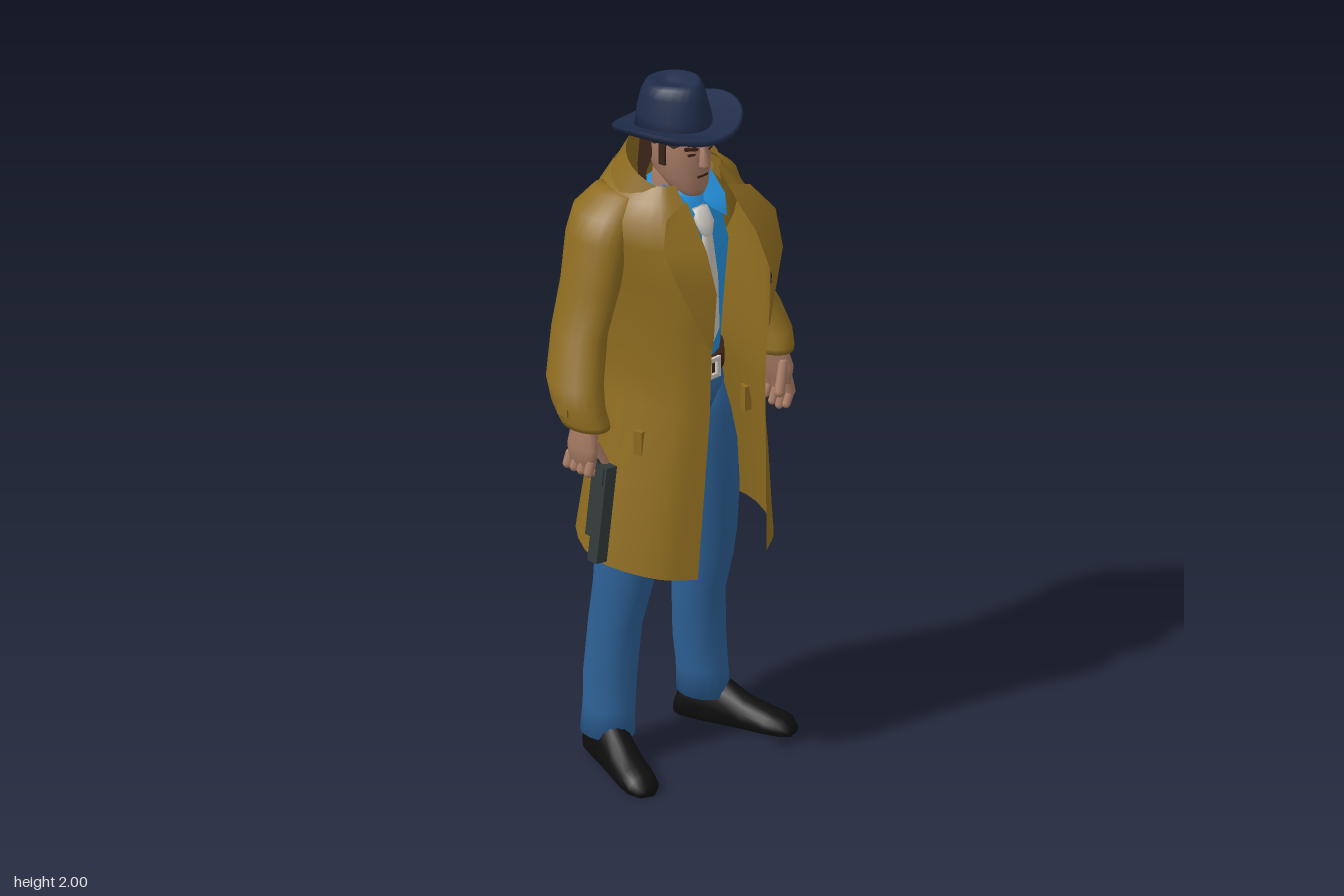
import * as THREE from 'three';

const mat = (name, color, side = THREE.FrontSide) => {
  const m = new THREE.MeshStandardMaterial({ color, side });
  m.name = name;
  return m;
};
const V = (x, y, z) => new THREE.Vector3(x, y, z);
const TAU = Math.PI * 2;

// Skin rows of points, each row running counter-clockwise seen from above, rows going up
function surface(rows, closed) {
  const n = rows[0].length, pos = [], idx = [];
  rows.forEach(r => r.forEach(p => pos.push(p.x, p.y, p.z)));
  for (let j = 0; j < rows.length - 1; j++) {
    for (let i = 0; i < (closed ? n : n - 1); i++) {
      const a = j * n + i, b = j * n + (i + 1) % n;
      idx.push(a, b, b + n, a, b + n, a + n);
    }
  }
  const g = new THREE.BufferGeometry();
  g.setAttribute('position', new THREE.Float32BufferAttribute(pos, 3));
  g.setIndex(idx);
  g.computeVertexNormals();
  return g;
}

// One elliptical ring; angle 0 faces the front
function ring([y, cx, cz, rx, rz], n = 20, from = 0, to = TAU) {
  const closed = to - from >= TAU, pts = [];
  for (let i = 0; i < n; i++) {
    const a = from + (to - from) * i / (closed ? n : n - 1);
    pts.push(V(cx + rx * Math.sin(a), y, cz + rz * Math.cos(a)));
  }
  return pts;
}

// Rings listed from bottom to top, closed with end caps
function loft(sections, s = 1, n = 20) {
  const flat = k => [k[0], k[1], k[2], 0, 0];
  const all = [flat(sections[0]), ...sections, flat(sections[sections.length - 1])];
  return surface(all.map(([y, cx, ...r]) => ring([y, s * cx, ...r], n)), true);
}

export function createModel() {
  const D = THREE.DoubleSide;
  const coat = mat('coat mustard', 0x8e6c20, D), hat = mat('hat navy', 0x202d4a, D);
  const shirt = mat('shirt blue', 0x2490dc, D), jeans = mat('denim blue', 0x2d6095);
  const skin = mat('skin', 0xa67a64), hair = mat('dark brown hair', 0x382318, D);
  const black = mat('shoe black', 0x0e0e0e), leather = mat('belt brown', 0x3c2415);
  const pale = mat('pale grey', 0xcbc7c0, D), steel = mat('gun metal', 0x323939);

  const root = new THREE.Group();
  const add = (name, geo, m, parent = root) => {
    const mesh = new THREE.Mesh(geo, m);
    mesh.name = name;
    parent.add(mesh);
    return mesh;
  };
  const box = (name, size, p, m, rot = [0, 0, 0], parent = root) => {
    const b = add(name, new THREE.BoxGeometry(...size), m, parent);
    b.position.set(...p);
    b.rotation.set(...rot);
    return b;
  };
  const limb = (name, a, b, r, m, parent) => {
    const d = b.clone().sub(a), c = add(name, new THREE.CapsuleGeometry(r, d.length(), 4, 8), m, parent);
    c.position.copy(a).add(b).multiplyScalar(0.5);
    c.quaternion.setFromUnitVectors(V(0, 1, 0), d.normalize());
  };

  // Trousers
  add('hips', loft([[0.985, 0, -0.02, 0.1, 0.06], [1.03, 0, -0.02, 0.145, 0.108],
    [1.08, 0, -0.02, 0.152, 0.122], [1.17, 0, -0.02, 0.138, 0.118]]), jeans);
  const leg = [[0.08, 0.178, -0.085, 0.068, 0.08], [0.16, 0.172, -0.085, 0.066, 0.076],
    [0.25, 0.165, -0.088, 0.07, 0.076], [0.4, 0.154, -0.08, 0.068, 0.078],
    [0.52, 0.15, -0.055, 0.072, 0.088], [0.6, 0.146, -0.045, 0.076, 0.095],
    [0.75, 0.125, -0.03, 0.084, 0.11], [0.9, 0.1, -0.02, 0.088, 0.115],
    [1.0, 0.08, -0.02, 0.081, 0.116], [1.1, 0.065, -0.02, 0.07, 0.1]];
  // Shoe stations from heel to toe: length, half width, height
  const shoe = [[-0.078, 0.03, 0.05], [-0.06, 0.046, 0.1], [0, 0.052, 0.14], [0.06, 0.05, 0.125],
    [0.13, 0.05, 0.085], [0.2, 0.051, 0.062], [0.245, 0.045, 0.05], [0.268, 0.026, 0.028]];
  // Sleeve from cuff to shoulder, the right elbow held further forward
  const sleeve = s => {
    const f = s < 0 ? 0.02 : 0;
    return [[1.085, 0.34, 0.0, 0.054, 0.078], [1.1, 0.342, -0.004, 0.056, 0.081],
      [1.14, 0.346, -0.022, 0.059, 0.085], [1.2, 0.339, -0.063 + f, 0.064, 0.09],
      [1.32, 0.288, -0.098 + f, 0.063, 0.088], [1.45, 0.247, -0.098 + f, 0.067, 0.094],
      [1.58, 0.218, -0.093 + f / 2, 0.068, 0.1], [1.645, 0.19, -0.087, 0.068, 0.096], [1.695, 0.155, -0.08, 0.045, 0.07]];
  };
  for (const s of [1, -1]) {
    const side = s > 0 ? 'left' : 'right';
    add(side + 'Leg', loft(leg, s), jeans);
    const g = loft(shoe.map(([l, w, h]) => [l, 0, -h * 0.35, w, h * 0.65]), 1, 16);
    g.rotateX(Math.PI / 2);
    const p = g.attributes.position;
    for (let i = 0; i < p.count; i++) p.setY(i, Math.max(0, p.getY(i)));
    g.computeVertexNormals();
    const sh = add(side + 'Shoe', g, black);
    sh.position.set(s * 0.18, 0, -0.085);
    sh.rotation.y = s * 0.35;
    add(side + 'Sleeve', loft(sleeve(s), s), coat);
    box(side + 'CuffTab', [0.009, 0.025, 0.04], [s * 0.402, 1.135, -0.022], coat);
    box(side + 'PocketFlap', [0.02, 0.07, 0.025], [s * 0.197, 1.0, 0.06], coat, [0, -s * 0.26, 0]);

    // Hand: the left hangs open, the right curls round the grip
    const hand = new THREE.Group();
    hand.name = side + 'Hand';
    root.add(hand);
    const curl = s < 0;
    add(side + 'Palm', loft([[0.98, 0.362, 0.01, 0.018, 0.05], [1.03, 0.362, 0.012, 0.025, 0.054],
      [1.08, 0.352, 0.008, 0.03, 0.042], [1.12, 0.345, 0, 0.032, 0.04]], s, 12), skin, hand);
    for (let i = 0; i < 4; i++) {
      const z = -0.034 + i * 0.027, tip = 0.9 + Math.abs(i - 1.6) * 0.012;
      const knuckle = V(s * 0.364, 0.992, z), mid = V(s * 0.374, curl ? 0.965 : 0.95, z);
      limb('finger', knuckle, mid, 0.0135, skin, hand);
      limb('fingertip', mid, curl ? V(s * 0.33, 0.955, z + 0.005) : V(s * 0.358, tip, z), 0.0115, skin, hand);
    }
    limb('thumb', V(s * 0.35, 1.045, 0.045), V(s * 0.32, 0.97, 0.06), 0.014, skin, hand);
  }

  // Pistol pointing down
  const gun = new THREE.Group();
  gun.name = 'pistol';
  gun.position.set(-0.355, 0.85, 0.07);
  gun.rotation.z = -0.14;
  root.add(gun);
  box('slide', [0.038, 0.275, 0.036], [0, 0, 0.01], steel, [0, 0, 0], gun);
  box('frame', [0.034, 0.2, 0.024], [0, 0.03, -0.017], steel, [0, 0, 0], gun);
  box('grip', [0.032, 0.05, 0.075], [0, 0.12, -0.045], steel, [-0.2, 0, 0], gun);
  box('rearSight', [0.046, 0.05, 0.03], [0, 0.11, 0.005], steel, [0, 0, 0], gun);

  // Shirt, tie and belt
  add('shirt', loft([[1.14, 0, -0.02, 0.132, 0.118], [1.3, 0, -0.02, 0.14, 0.13],
    [1.5, 0, -0.03, 0.165, 0.15], [1.62, 0, -0.03, 0.14, 0.12], [1.69, 0, -0.02, 0.065, 0.075]]), shirt);
  add('tie', loft([[1.235, 0, 0.125, 0.002, 0.004], [1.29, 0, 0.125, 0.037, 0.009],
    [1.45, 0, 0.128, 0.028, 0.009], [1.58, 0, 0.115, 0.017, 0.009]], 1, 12), pale);
  add('tieKnot', loft([[1.575, 0, 0.115, 0.016, 0.014], [1.61, 0, 0.106, 0.03, 0.018],
    [1.645, 0, 0.085, 0.028, 0.016]], 1, 12), pale);
  for (const s of [1, -1]) {
    add('shirtCollar', surface([[V(s * 0.03, 1.64, 0.1), V(s * 0.075, 1.605, 0.115)],
      [V(s * 0.025, 1.655, 0.075), V(s * 0.09, 1.66, 0.09)],
      [V(s * 0.055, 1.705, 0.045), V(s * 0.085, 1.725, 0.03)]], false), shirt);
  }
  add('belt', loft([[1.14, 0, -0.02, 0.147, 0.132], [1.195, 0, -0.02, 0.145, 0.132]], 1, 28), leather);
  const plate = new THREE.Shape([[-0.04, -0.03], [0.04, -0.03], [0.04, 0.03], [-0.04, 0.03]].map(q => new THREE.Vector2(...q)));
  plate.holes.push(new THREE.Path([[-0.026, -0.018], [-0.026, 0.018], [0.026, 0.018], [0.026, -0.018]].map(q => new THREE.Vector2(...q))));
  add('buckle', new THREE.ExtrudeGeometry(plate, { depth: 0.009, bevelEnabled: false }), pale).position.set(0.008, 1.166, 0.11);
  box('bucklePin', [0.01, 0.05, 0.009], [0.008, 1.166, 0.116], pale);

  // Open coat: height, right edge, left edge, front depth, half width, back depth, hem lift, back squareness
  const levels = [[0.62, -0.13, 0.125, 0.215, 0.28, -0.24, 0.11, 0.6], [0.9, -0.1, 0.125, 0.212, 0.235, -0.21, 0, 0.62],
    [1.1, -0.085, 0.12, 0.215, 0.187, -0.18, 0, 0.66], [1.2, -0.085, 0.12, 0.218, 0.177, -0.17, 0, 0.68],
    [1.35, -0.085, 0.125, 0.225, 0.186, -0.18, 0, 0.74], [1.47, -0.085, 0.12, 0.236, 0.2, -0.195, 0, 0.78],
    [1.58, -0.085, 0.105, 0.195, 0.222, -0.195, 0, 0.78], [1.645, -0.08, 0.09, 0.145, 0.215, -0.19, 0, 0.76],
    [1.69, -0.08, 0.085, 0.11, 0.172, -0.188, 0, 0.72], [1.735, -0.08, 0.08, 0.075, 0.128, -0.178, 0, 0.66]];
  add('coatBody', surface(levels.map(([y, xr, xl, zf, w, zb, k, q]) => new THREE.CatmullRomCurve3([
    [xl, zf], [(xl + w) / 2 + 0.01, zf * 0.7], [w, -0.03], [w * q, zb * 0.89], [0, zb],
    [-w * q, zb * 0.89], [-w, -0.03], [(xr - w) / 2 - 0.01, zf * 0.7], [xr, zf],
  ].map(([x, z]) => V(x, y + k * (zf - z), z))).getPoints(32)), false), coat);

  // Raised collar with turned-over edge
  const band = (rx, rz, cz, y, drop) => ring([y, 0, cz, rx, rz], 24, 0.65, TAU - 0.65)
    .map(p => V(p.x, p.y - drop * (p.z - cz) / rz, p.z));
  add('coatCollar', surface([band(0.15, 0.14, -0.03, 1.66, 0), band(0.137, 0.118, -0.015, 1.762, 0.055)], false), coat);
  add('collarFold', surface([band(0.165, 0.15, -0.03, 1.69, 0.045), band(0.137, 0.118, -0.015, 1.762, 0.055)], false), coat);

  // Lapels
  add('leftLapel', surface([[V(0.122, 1.3, 0.226), V(0.13, 1.3, 0.222)], [V(0.118, 1.46, 0.243), V(0.2, 1.5, 0.2)],
    [V(0.1, 1.58, 0.21), V(0.22, 1.59, 0.15)], [V(0.075, 1.7, 0.115), V(0.16, 1.67, 0.115)]], false), coat);
  add('rightLapel', surface([[V(-0.095, 1.3, 0.224), V(-0.086, 1.3, 0.228)], [V(-0.18, 1.52, 0.18), V(-0.084, 1.47, 0.241)],
    [V(-0.19, 1.6, 0.145), V(-0.084, 1.58, 0.203)], [V(-0.15, 1.67, 0.115), V(-0.075, 1.7, 0.115)]], false), coat);

  // Head and face
  add('neck', loft([[1.6, 0, -0.03, 0.06, 0.06], [1.75, 0, -0.01, 0.055, 0.06]]), skin);
  add('head', loft([[1.685, 0, 0.06, 0.03, 0.03], [1.705, 0, 0.04, 0.052, 0.058], [1.745, 0, 0.015, 0.07, 0.084],
    [1.79, 0, 0.005, 0.079, 0.096], [1.83, 0, 0, 0.08, 0.098], [1.89, 0, -0.01, 0.08, 0.095]]), skin);
  add('nose', loft([[1.772, 0, 0.1, 0.016, 0.016], [1.783, 0, 0.106, 0.017, 0.018], [1.83, 0, 0.096, 0.008, 0.01]], 1, 8), skin);
  box('mouth', [0.036, 0.006, 0.008], [0, 1.746, 0.096], leather);
  for (const s of [1, -1]) {
    box('eyebrow', [0.038, 0.008, 0.009], [s * 0.034, 1.832, 0.089], hair, [0, s * 0.32, s * 0.15]);
    box('eye', [0.02, 0.006, 0.008], [s * 0.033, 1.815, 0.089], hair, [0, s * 0.32, 0]);
    box('sideburn', [0.009, 0.06, 0.02], [s * 0.079, 1.81, 0.025], hair, [0, s * -0.2, 0]);
  }
  // Hair hanging in uneven locks below the hat
  add('backHair', surface([[1.715, 0, -0.025, 0.096, 0.08], [1.745, 0, -0.018, 0.098, 0.09], [1.8, 0, -0.01, 0.091, 0.1],
    [1.88, 0, -0.01, 0.088, 0.1]].map((k, j) => ring(k, 21, 1.5 + 0.08 * (j % 2), TAU - 1.5 - 0.08 * (j % 2))
    .map((p, i) => V(p.x, p.y - (j ? 0 : 0.018 * (i % 2)), p.z))), false), hair);
  add('topHair', surface([ring([1.85, 0, -0.002, 0.088, 0.104]).map((p, i) => V(p.x, p.y - 0.015 * (i % 2), p.z)),
    ring([1.9, 0, -0.01, 0.085, 0.1])], true), hair);

  // Hat: tilted, curled brim and a pinched crown
  const brim = (rx, rz, lift) => ring([0, 0.004, -0.004, rx, rz], 32)
    .map(p => V(p.x, 1.851 + lift + 0.165 * p.z + 1.7 * p.x * p.x, p.z));
  add('hatBrim', surface([brim(0.085, 0.1, -0.006), brim(0.14, 0.155, -0.014), brim(0.166, 0.181, -0.008), brim(0.169, 0.184, 0.004),
    brim(0.162, 0.177, 0.01), brim(0.135, 0.15, 0.006), brim(0.085, 0.1, 0.012)], true), hat);
  const crown = loft([[1.845, 0.004, -0.016, 0.1, 0.118], [1.9, 0.004, -0.016, 0.092, 0.113],
    [1.96, 0.004, -0.015, 0.083, 0.1], [1.988, 0.004, -0.014, 0.071, 0.088],
    [1.997, 0.004, -0.012, 0.056, 0.072], [1.978, 0.004, -0.012, 0.025, 0.05]], 1, 24);
  const cp = crown.attributes.position;
  for (let i = 0; i < cp.count; i++) {
    const z = cp.getZ(i), t = Math.max(0, (cp.getY(i) - 1.88) / 0.12);
    cp.setY(i, cp.getY(i) + t * (0.12 * Math.min(z, 0.03)));
    if (z > 0) cp.setX(i, cp.getX(i) * (1 - 4 * z * t));
  }
  crown.computeVertexNormals();
  add('hatCrown', crown, hat);
  return root;
}
